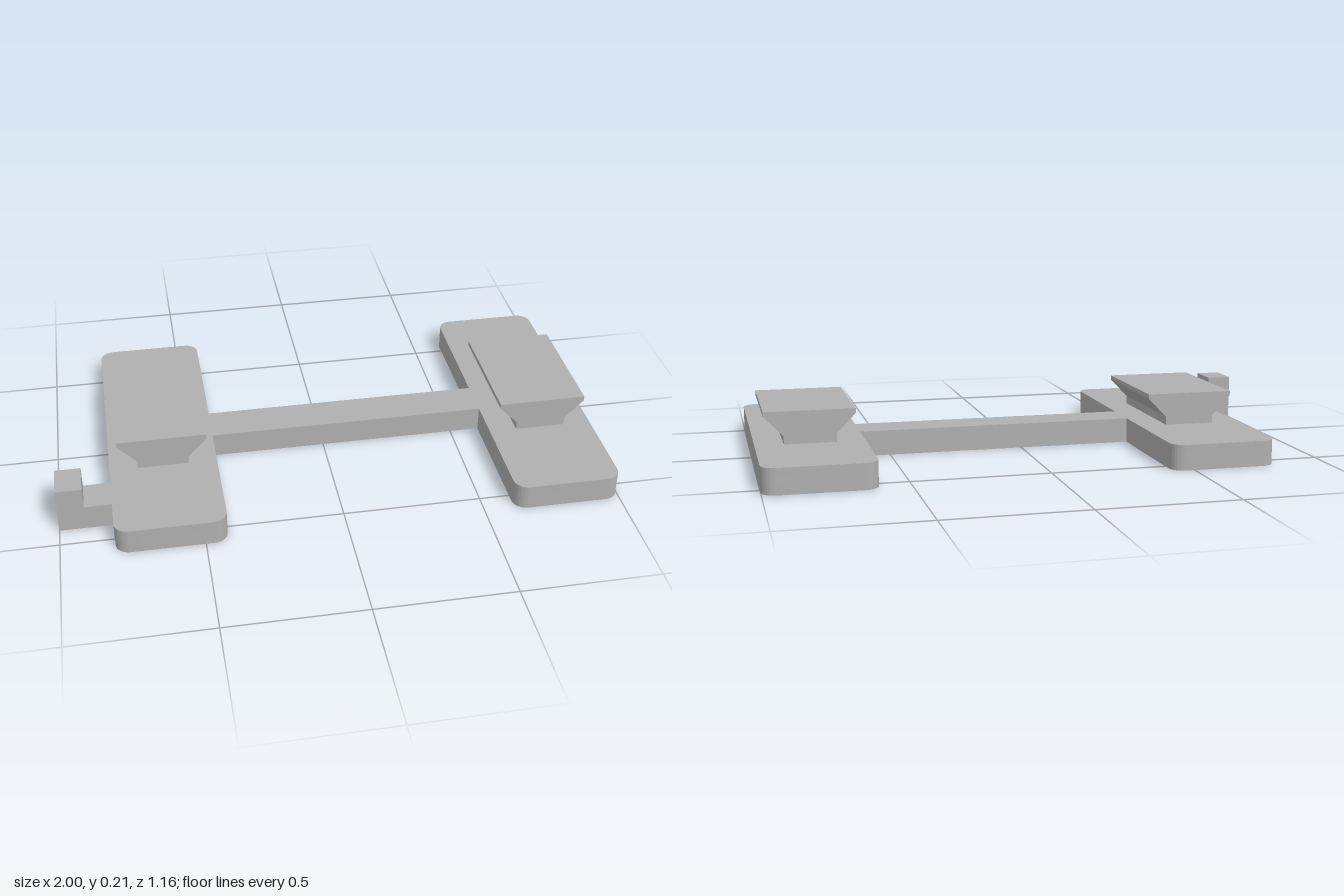
import * as THREE from 'three';
import { toCreasedNormals } from 'three/addons/utils/BufferGeometryUtils.js';

const PAD_X = [-0.615, 0.805]; // pad centres
const HALF_W = 0.195, HALF_L = 0.58, R = 0.05;
const TOP = 0.092, HOLE_DEPTH = 0.065;

// Outline of the whole base in plan; shape y is -z
function baseOutline() {
  const s = new THREE.Shape();
  const [a, b] = PAD_X, bar = 0.073;
  const corner = (cx, cy, start) => s.absarc(cx, cy, R, start, start + Math.PI / 2, false);
  const i = HALF_W - R, j = HALF_L - R;
  s.moveTo(a + HALF_W, -bar);
  s.lineTo(b - HALF_W, -bar);
  corner(b - i, -j, Math.PI);
  corner(b + i, -j, -Math.PI / 2);
  corner(b + i, j, 0);
  corner(b - i, j, Math.PI / 2);
  s.lineTo(b - HALF_W, bar);
  s.lineTo(a + HALF_W, bar);
  corner(a + i, j, 0);
  corner(a - i, j, Math.PI / 2);
  // side arm
  s.lineTo(a - HALF_W, -0.297);
  s.lineTo(-1, -0.297);
  s.lineTo(-1, -0.422);
  s.lineTo(a - HALF_W, -0.422);
  corner(a - i, -j, Math.PI);
  corner(a + i, -j, -Math.PI / 2);
  s.closePath();
  return s;
}

function slab(shape, y, depth) {
  const g = new THREE.ExtrudeGeometry(shape, { depth, bevelEnabled: false, curveSegments: 10 });
  g.rotateX(-Math.PI / 2).translate(0, y, 0);
  return toCreasedNormals(g, Math.PI / 6);
}

export function createModel() {
  const group = new THREE.Group();
  const grey = new THREE.MeshStandardMaterial({ color: 0xb0b0b0 });
  grey.name = 'grey';
  const add = (name, geometry) => {
    const mesh = new THREE.Mesh(geometry, grey);
    mesh.name = name;
    group.add(mesh);
    return mesh;
  };

  // Base: the lower layer carries the blind screw holes, the upper one closes them
  const lower = baseOutline();
  for (const x of PAD_X) for (const z of [-0.466, 0.466]) {
    lower.holes.push(new THREE.Path().absarc(x, z, 0.024, 0, Math.PI * 2, true));
  }
  add('baseLower', slab(lower, 0, HOLE_DEPTH));
  add('baseUpper', slab(baseOutline(), HOLE_DEPTH, TOP - HOLE_DEPTH));

  // Dovetail rails on the pads
  const half = [[0.093, TOP], [0.093, 0.122], [0.162, 0.193], [0.162, 0.21]];
  const profile = [...half, ...half.map(([x, y]) => [-x, y]).reverse()];
  const railShape = new THREE.Shape(profile.map(([x, y]) => new THREE.Vector2(x, y)));
  const rail = new THREE.ExtrudeGeometry(railShape, { depth: 0.454, bevelEnabled: false });
  rail.translate(0, 0, -0.227);
  PAD_X.forEach((x, i) => {
    add(i ? 'leftRail' : 'rightRail', rail).position.x = x;
  });

  // Upright stop at the end of the side arm
  const post = add('armPost', new THREE.BoxGeometry(0.093, 0.17 - TOP, 0.125));
  post.position.set(-0.9535, (0.17 + TOP) / 2, 0.3595);

  return group;
}
